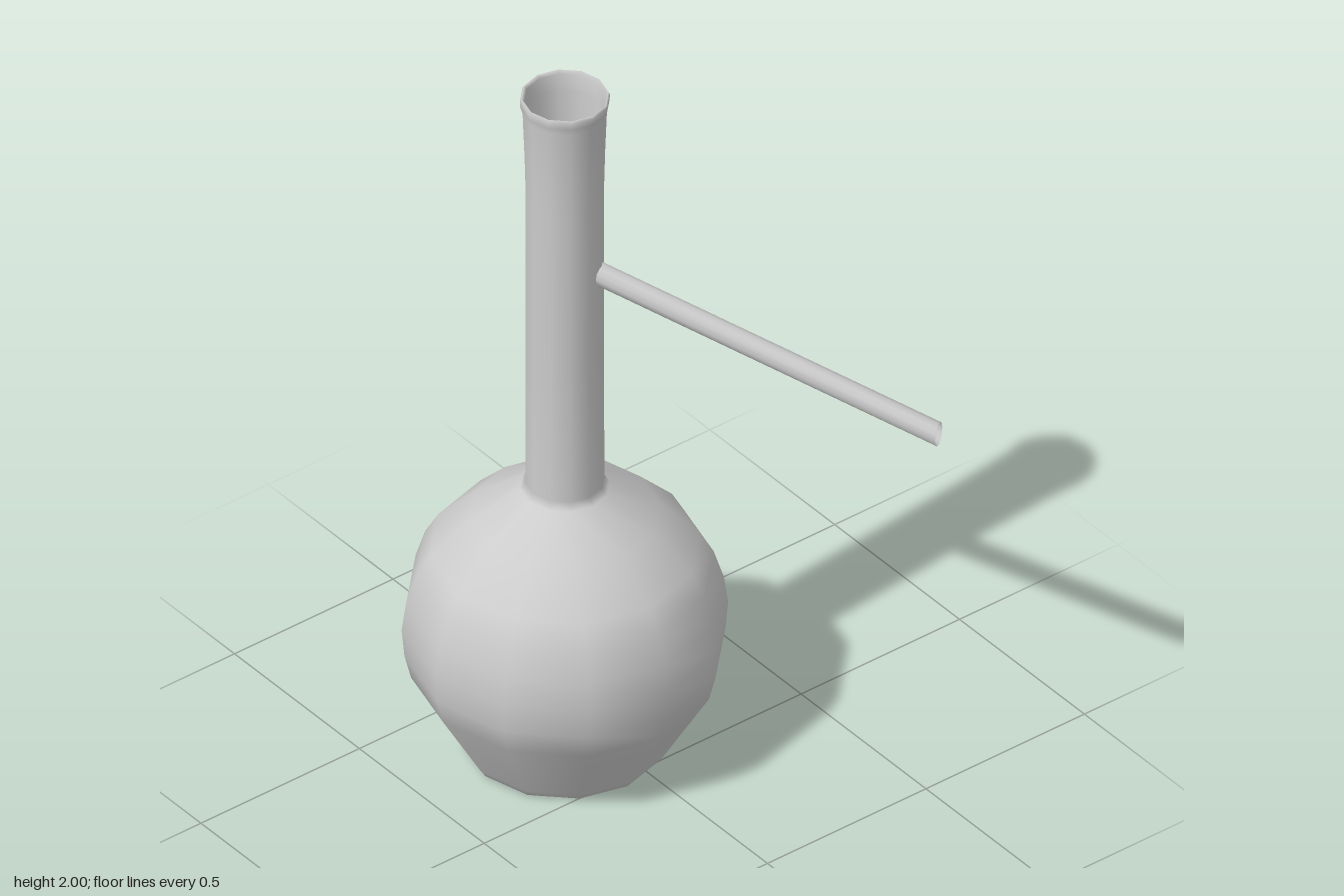
import * as THREE from 'three';

const AXIS = new THREE.Vector3(-0.21, 0, 0.08); // centre line of bulb and neck
const SIDES = 12;

function makeMesh(name, geometry, material) {
  const mesh = new THREE.Mesh(geometry, material);
  mesh.name = name;
  return mesh;
}

export function createModel() {
  const group = new THREE.Group();
  group.name = 'distillationFlask';
  const glass = new THREE.MeshStandardMaterial({ color: 0xcccccc, side: THREE.DoubleSide });

  // Flat base, round bulb, long neck and flared lip in one thin-walled profile
  const profile = [
    [0, 0.004], [0.235, 0.004], [0.25, 0.01], [0.265, 0.032],
    [0.385, 0.24], [0.402, 0.31], [0.409, 0.39], [0.398, 0.47], [0.373, 0.55],
    [0.338, 0.612], [0.238, 0.712], [0.112, 0.795], [0.099, 0.815],
    [0.098, 1.2], [0.098, 1.7], [0.101, 1.82], [0.106, 1.955],
    [0.112, 1.975], [0.113, 1.992], [0.109, 2.0], [0.102, 1.992], [0.098, 1.95],
  ].map(([r, y]) => new THREE.Vector2(r, y));
  const body = makeMesh('flaskBody', new THREE.LatheGeometry(profile, SIDES), glass);
  body.position.copy(AXIS);
  group.add(body);

  // Side arm: an open tube sheared downwards so that its end is cut upright
  const start = 0.088, end = 0.975, slope = -0.33;
  const tube = new THREE.CylinderGeometry(0.029, 0.029, end - start, SIDES, 1, true);
  tube.rotateZ(-Math.PI / 2);
  tube.scale(1, 1.1, 1);
  tube.translate((start + end) / 2, 0, 0);
  const pos = tube.attributes.position;
  for (let i = 0; i < pos.count; i++) {
    pos.setY(i, pos.getY(i) + pos.getX(i) * slope);
  }
  tube.computeVertexNormals();
  // Share normals across the tube's seam
  const normal = tube.attributes.normal;
  for (const row of [0, SIDES + 1]) {
    const n = new THREE.Vector3().fromBufferAttribute(normal, row)
      .add(new THREE.Vector3().fromBufferAttribute(normal, row + SIDES)).normalize();
    normal.setXYZ(row, n.x, n.y, n.z);
    normal.setXYZ(row + SIDES, n.x, n.y, n.z);
  }
  const arm = makeMesh('sideArm', tube, glass);
  arm.position.set(AXIS.x, 1.5, AXIS.z);
  arm.rotation.y = Math.atan2(0.54, 0.81);
  group.add(arm);

  return group;
}
